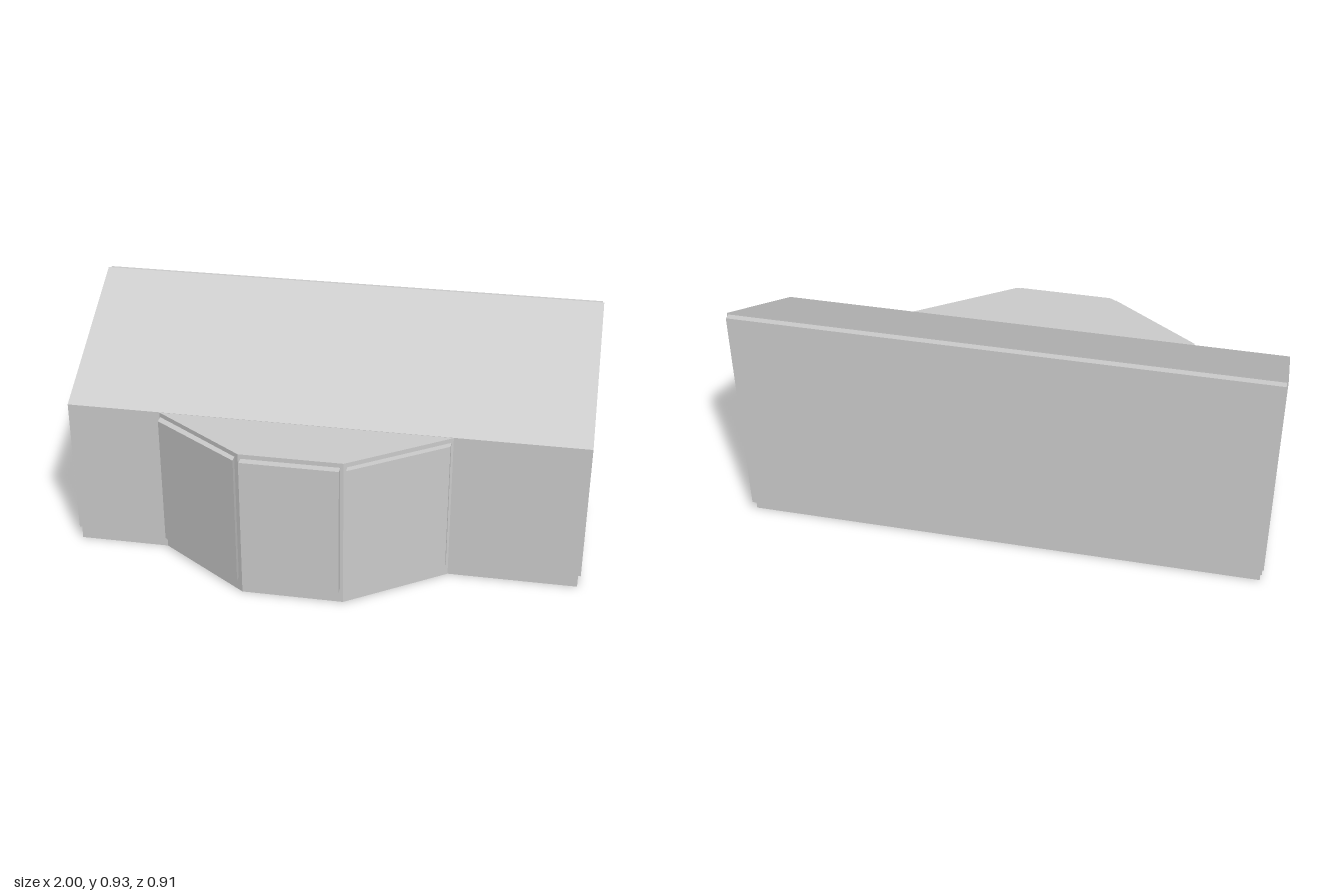
import * as THREE from 'three';

const material = new THREE.MeshStandardMaterial({ color: 0xcccccc, flatShading: true });

const shapeOf = (points) => new THREE.Shape(points.map(([a, b]) => new THREE.Vector2(a, b)));

function part(name, geometry) {
  const mesh = new THREE.Mesh(geometry, material);
  mesh.name = name;
  return mesh;
}

// Side profile of [z, y] points, stretched along x
function acrossX(name, points, x0, x1) {
  const geo = new THREE.ExtrudeGeometry(shapeOf(points.map(([z, y]) => [-z, y])), { depth: x1 - x0, bevelEnabled: false });
  return part(name, geo.rotateY(Math.PI / 2).translate(x0, 0, 0));
}

// Floor plan of [x, z] points, stretched upwards
function upwards(name, points, y0, y1) {
  const geo = new THREE.ExtrudeGeometry(shapeOf(points.map(([x, z]) => [x, -z])), { depth: y1 - y0, bevelEnabled: false });
  return part(name, geo.rotateX(-Math.PI / 2).translate(0, y0, 0));
}

export function createModel() {
  const group = new THREE.Group();
  group.name = 'leanToBuilding';
  const front = 0.17, back = -0.43, eave = 0.6, ridge = 0.918, sill = 0.05;

  // Solid body on its plinth
  group.add(acrossX('body', [[front, 0], [front, eave], [back, ridge], [back, 0]], -0.99, 0.99));

  // Sloping roof sheet
  group.add(acrossX('roof', [[front, eave], [front, eave + 0.009], [back, ridge + 0.01], [back, ridge]], -1, 1));

  // Wall cladding: plain on the right, notched for the doorway on the left
  const gable = [[back, sill], [back, ridge], [front, eave], [front, sill]];
  group.add(acrossX('rightWall', gable, -1, -0.99));
  const doorway = [[0, sill], [0, 0.385], [-0.07, 0.425], [-0.225, 0.425], [-0.292, 0.375], [-0.292, sill]];
  group.add(acrossX('leftWall', [...gable, ...doorway], 0.99, 1));
  const door = [[-0.022, sill], [-0.022, 0.362], [-0.09, 0.41], [-0.21, 0.41], [-0.272, 0.362], [-0.272, sill]];
  group.add(acrossX('door', door, 0.985, 1));

  // Back wall slab
  const backWall = part('backWall', new THREE.BoxGeometry(1.99, 0.872, 0.025));
  backWall.position.set(0, 0.486, back - 0.0125);
  group.add(backWall);

  // Three-sided bay
  group.add(upwards('bay', [[-0.635, front], [-0.27, 0.425], [0.12, 0.425], [0.49, front]], 0, 0.608));

  // One raised window panel on each face of the bay
  const panels = [
    ['rightWindow', -0.632, 0.178, -0.285, 0.415],
    ['middleWindow', -0.26, 0.425, 0.108, 0.425],
    ['leftWindow', 0.132, 0.417, 0.482, 0.177],
  ];
  for (const [name, xa, za, xb, zb] of panels) {
    const depth = name === 'middleWindow' ? 0.03 : 0.028;
    const plan = [[xa, za - 0.005], [xa, za + depth], [xb, zb + depth], [xb, zb - 0.005]];
    group.add(upwards(name, plan, 0.06, 0.59));
  }
  return group;
}
